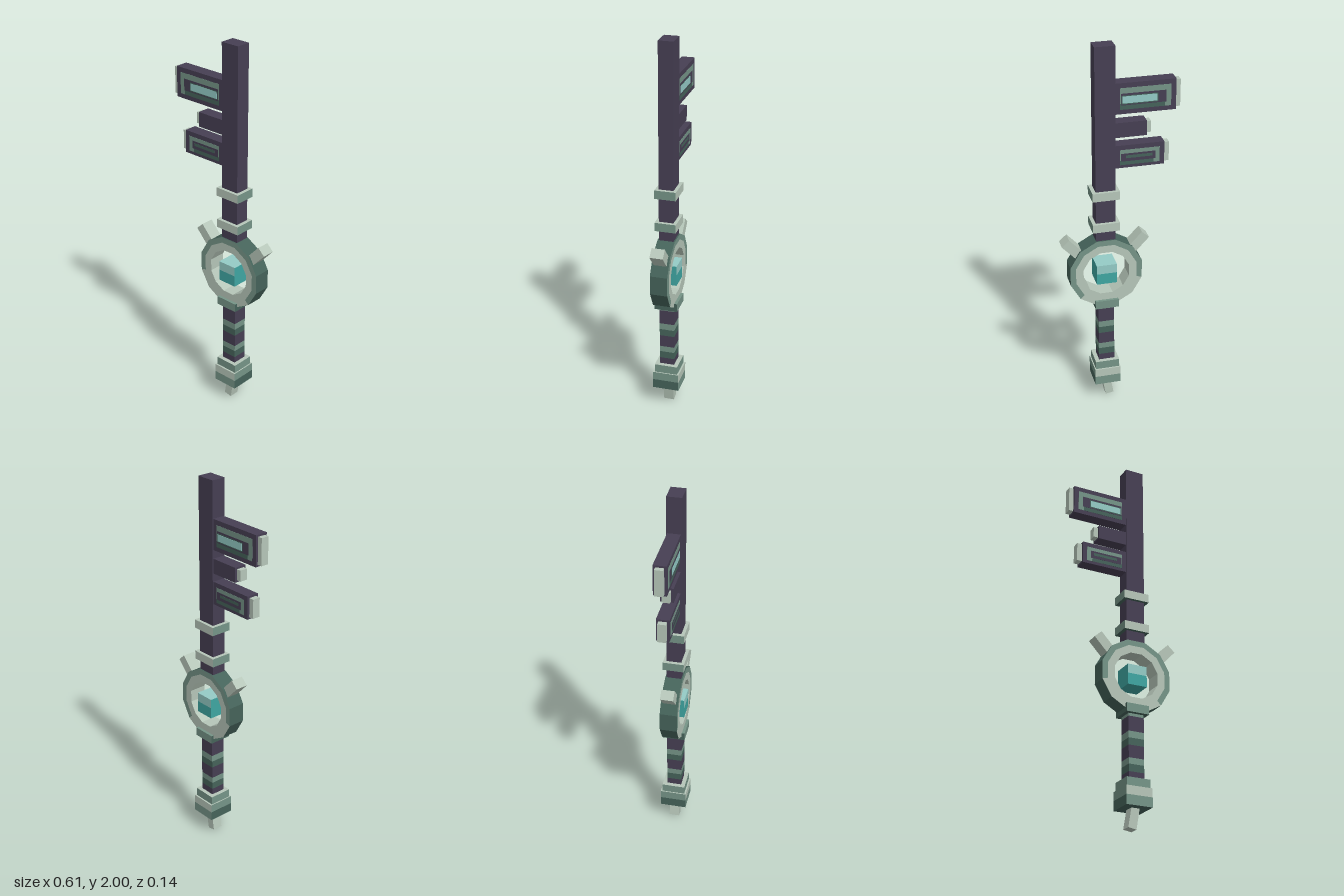
import * as THREE from 'three';

const mat = (name, color) => {
  const m = new THREE.MeshStandardMaterial({ color });
  m.name = name;
  return m;
};

export function createModel() {
  const iron = mat('dark plum iron', 0x463f53);
  const sage = mat('pale sage', 0xb6c6b9);
  const green = mat('mid green', 0x759487);
  const deep = mat('deep green', 0x45635a);
  const ice = mat('pale cyan', 0x94cbc6);
  const teal = mat('teal', 0x3fa6a2);

  const key = new THREE.Group();
  key.name = 'key';
  const CX = 0.074; // axis of the shaft

  const add = (name, geometry, material, parent = key) => {
    const m = new THREE.Mesh(geometry, material);
    m.name = name;
    parent.add(m);
    return m;
  };
  // box from its limits in x and y, and its half depth
  const box = (name, x0, x1, y0, y1, hz, material) => {
    const m = add(name, new THREE.BoxGeometry(x1 - x0, y1 - y0, hz * 2), material);
    m.position.set((x0 + x1) / 2, (y0 + y1) / 2, 0);
    return m;
  };
  // box centred on the shaft
  const collar = (name, hx, y0, y1, hz, material) => box(name, CX - hx, CX + hx, y0, y1, hz, material);
  // box sides: +x, -x, top, bottom, front, back
  const trim = [green, green, sage, deep, sage, sage];

  // shaft and its two bands
  collar('shaft', 0.051, 0.95, 2, 0.038, iron);
  for (const y of [1.03, 1.205]) collar('shaftBand', 0.07, y, y + 0.045, 0.055, trim);

  // key teeth with pale tips
  for (const [tip, end, y0, y1] of [
    [-0.305, -0.28, 1.652, 1.81],
    [-0.16, -0.135, 1.53, 1.607],
    [-0.253, -0.226, 1.367, 1.487],
  ]) {
    box('tooth', end, CX - 0.05, y0, y1, 0.033, iron);
    box('toothTip', tip, end, y0 + 0.01, y1 - 0.01, 0.021, sage);
  }

  // inlays on both faces of the large teeth, as stepped thin plates
  box('upperInlayFrame', -0.255, 0, 1.675, 1.785, 0.0340, green);
  box('upperInlayShade', -0.225, 0, 1.675, 1.705, 0.0345, deep);
  box('upperInlayField', -0.23, -0.005, 1.697, 1.757, 0.0350, iron);
  box('upperInlayGlowEdge', -0.19, -0.008, 1.702, 1.747, 0.0355, deep);
  box('upperInlayGlow', -0.185, -0.012, 1.707, 1.743, 0.0365, ice);
  box('lowerInlayFrame', -0.202, 0, 1.383, 1.463, 0.0340, green);
  box('lowerInlayShade', -0.17, 0, 1.383, 1.405, 0.0345, deep);
  box('lowerInlayField', -0.18, -0.005, 1.402, 1.443, 0.0350, iron);
  box('lowerInlayCore', -0.165, -0.03, 1.418, 1.433, 0.0355, deep);

  // twelve-sided ring built from wedges
  const ring = new THREE.Group();
  ring.name = 'ring';
  ring.position.set(CX, 0.785, 0);
  key.add(ring);
  const wedge = (name, r0, r1, i, materials) => {
    const a = (i - 0.5) * Math.PI / 6, b = (i + 0.5) * Math.PI / 6;
    const p = (r, t) => new THREE.Vector2(r * Math.cos(t), r * Math.sin(t));
    const shape = new THREE.Shape([p(r0, a), p(r1, a), p(r1, b), p(r0, b)]);
    const g = new THREE.ExtrudeGeometry(shape, { depth: 0.09, bevelEnabled: false });
    g.translate(0, 0, -0.045);
    add(name, g, materials, ring);
  };
  for (let i = 0; i < 12; i++) {
    const pale = i >= 7 && i <= 10;
    wedge('ringInner', 0.124, 0.165, i, [sage, sage]);
    wedge('ringOuter', 0.165, 0.195, i, [pale ? sage : green, deep]);
  }

  // two horns slanting out of the ring
  for (const s of [1, -1]) {
    const horn = add('horn', new THREE.BoxGeometry(0.052, 0.135, 0.068), sage);
    horn.position.set(CX + s * 0.163, 0.928, 0);
    horn.rotation.z = -s * 0.75;
  }

  // floating gem, paler above
  collar('gemTop', 0.053, 0.787, 0.836, 0.055, [teal, teal, ice, teal, ice, ice]);
  collar('gemBottom', 0.053, 0.727, 0.787, 0.055, teal);

  // handle with wrapped stripes
  collar('ringCollar', 0.062, 0.58, 0.625, 0.06, [deep, deep, green, deep, green, green]);
  let y = 0.235;
  for (const [top, material] of [
    [0.28, iron], [0.318, deep], [0.35, green], [0.415, iron],
    [0.452, deep], [0.487, green], [0.565, iron], [0.585, green],
  ]) {
    collar('handleStripe', 0.042, y, top, 0.039, material);
    y = top;
  }

  // pommel and its tilted end
  collar('pommelCollar', 0.064, 0.2, 0.245, 0.061, [green, green, sage, green, green, green]);
  collar('pommelUpper', 0.07, 0.155, 0.2, 0.07, trim);
  collar('pommelLower', 0.07, 0.105, 0.155, 0.07, [deep, deep, deep, deep, green, green]);
  const stub = add('pommelStub', new THREE.BoxGeometry(0.044, 0.13, 0.054), sage);
  stub.position.set(0.067, 0.068, 0);
  stub.rotation.z = -0.17;

  return key;
}
